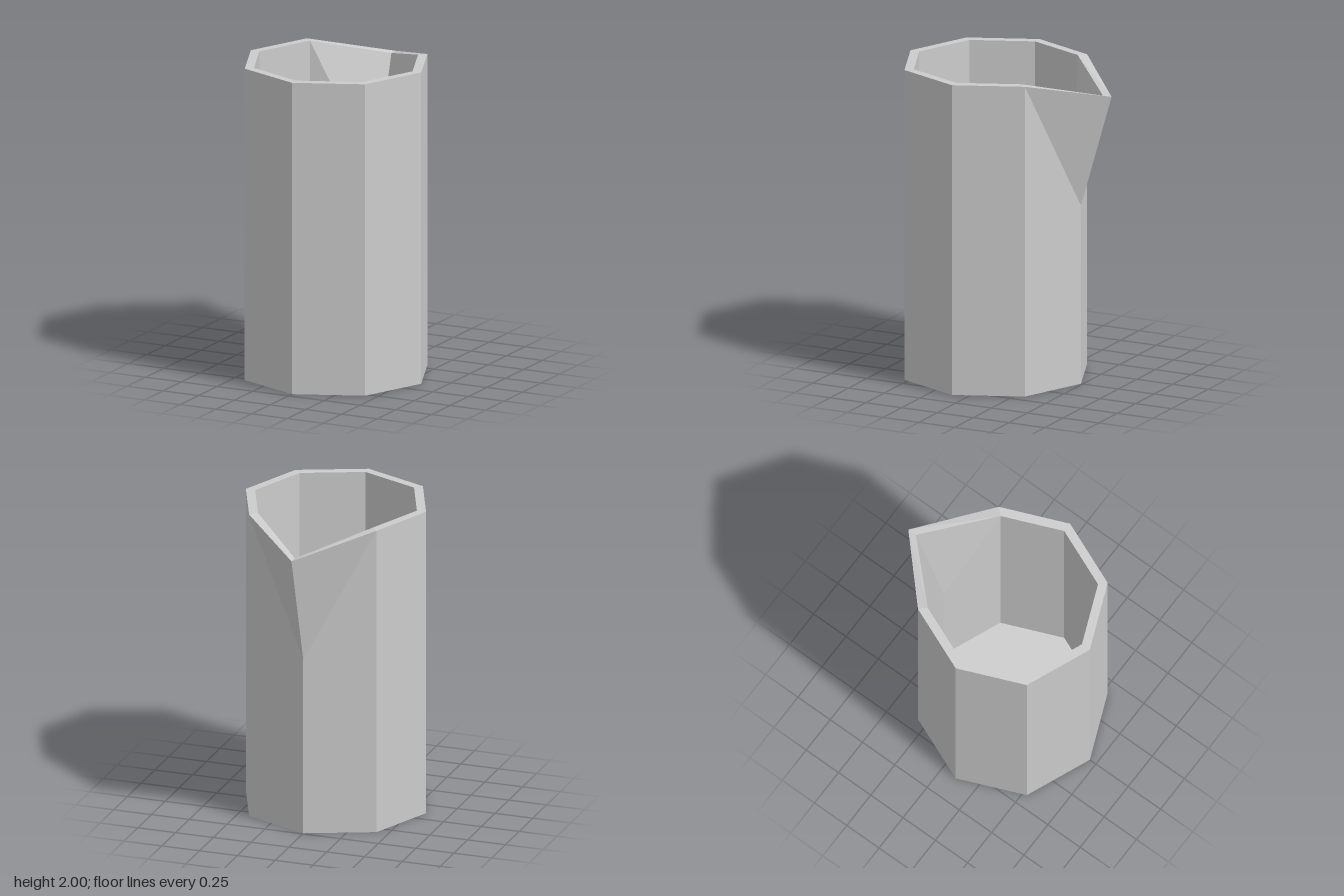
import * as THREE from 'three';

const SIDES = 8, BACK = 4, CENTRE_Z = 0.107;
const OUTER = 0.596, INNER = 0.535, TOP = 2, SPOUT_BASE = 1.15, FLOOR = 0.06;

// Octagonal ring; the back corner may be pulled out to form the spout tip
function ring(radius, y, tip) {
  return Array.from({ length: SIDES }, (_, i) => {
    if (tip && i === BACK) return [0, tip.y, tip.z];
    const a = (i / SIDES) * Math.PI * 2;
    return [radius * Math.sin(a), y, CENTRE_Z + radius * Math.cos(a)];
  });
}

// Joins two rings; the diagonals mirror left and right so the spout folds evenly
function band(out, lower, upper, inside) {
  for (let i = 0; i < SIDES; i++) {
    const j = (i + 1) % SIDES;
    const [a, b, c, d] = [lower[i], lower[j], upper[j], upper[i]];
    if ((i < BACK) !== inside) out.push(...a, ...b, ...d, ...b, ...c, ...d);
    else out.push(...a, ...b, ...c, ...a, ...c, ...d);
  }
}

// Flat eight-sided disc facing up or down
function disc(out, r, up) {
  const centre = [0, r[0][1], CENTRE_Z];
  for (let i = 0; i < SIDES; i++) {
    const p = r[i], q = r[(i + 1) % SIDES];
    out.push(...centre, ...(up ? p : q), ...(up ? q : p));
  }
}

function makeMesh(name, positions, material) {
  const geometry = new THREE.BufferGeometry();
  geometry.setAttribute('position', new THREE.Float32BufferAttribute(positions, 3));
  geometry.computeVertexNormals();
  const mesh = new THREE.Mesh(geometry, material);
  mesh.name = name;
  return mesh;
}

export function createModel() {
  const group = new THREE.Group();
  group.name = 'spoutedCup';
  const material = new THREE.MeshStandardMaterial({ color: 0xcccccc, flatShading: true });

  const outerBottom = ring(OUTER, 0);
  const outerMid = ring(OUTER, SPOUT_BASE);
  const outerTop = ring(OUTER, TOP, { y: 1.88, z: -0.703 });
  const innerTop = ring(INNER, TOP, { y: 1.88, z: -0.643 });
  const innerMid = ring(INNER, SPOUT_BASE);
  const innerFloor = ring(INNER, FLOOR);

  // Outer wall with its base
  const outer = [];
  disc(outer, outerBottom, false);
  band(outer, outerBottom, outerMid, false);
  band(outer, outerMid, outerTop, false);
  group.add(makeMesh('outerWall', outer, material));

  // Rim between the walls, dipping at the spout
  const rim = [];
  band(rim, outerTop, innerTop, false);
  group.add(makeMesh('rim', rim, material));

  // Inner wall and floor
  const inner = [];
  band(inner, innerTop, innerMid, true);
  band(inner, innerMid, innerFloor, true);
  disc(inner, innerFloor, true);
  group.add(makeMesh('innerWall', inner, material));

  return group;
}
